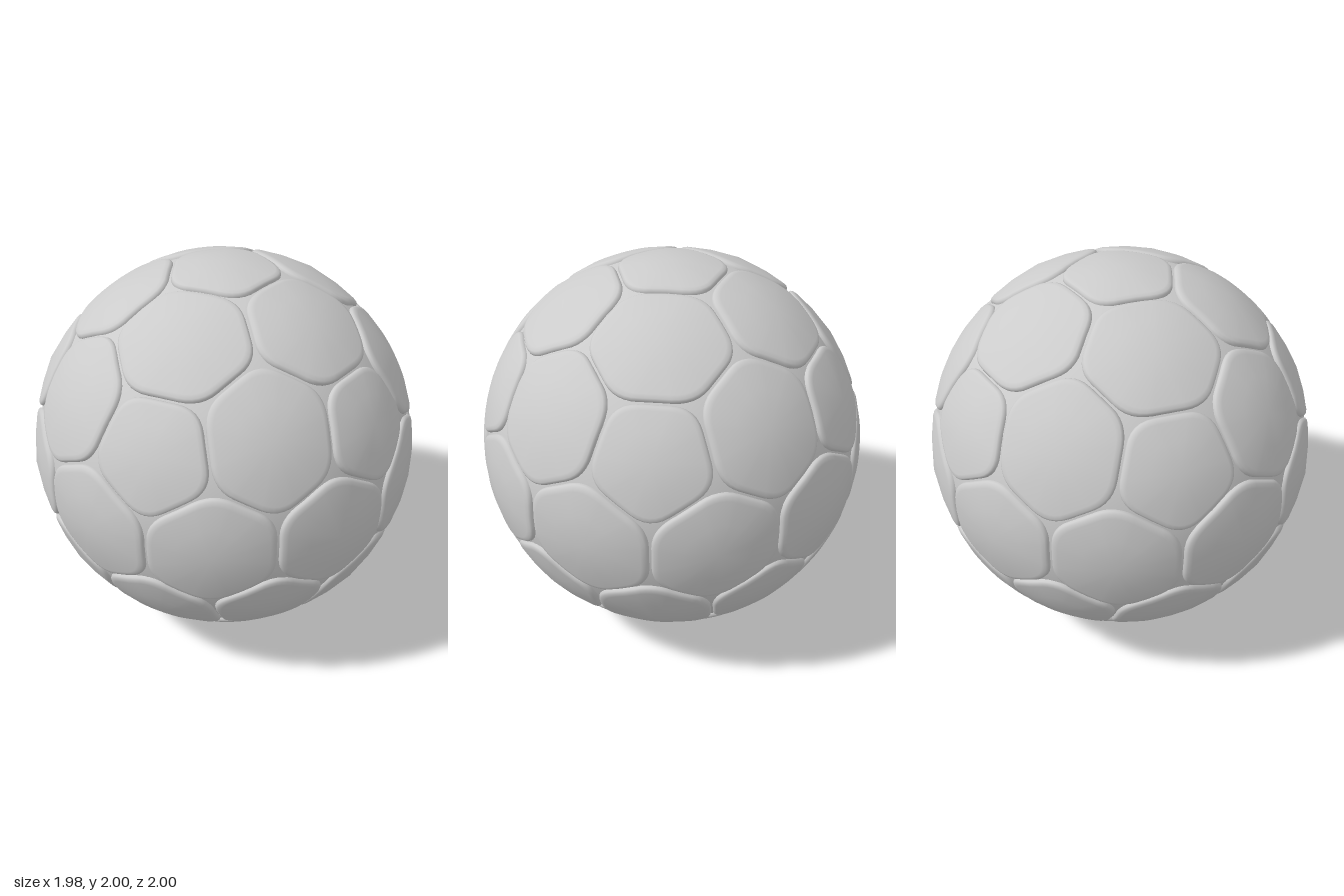
import * as THREE from 'three';

const material = new THREE.MeshStandardMaterial({ color: 0xcccccc });

// Twelve pentagon centres: two poles and two staggered rings
function pentagonCentres() {
  const list = [new THREE.Vector3(0, 1, 0), new THREE.Vector3(0, -1, 0)];
  const lat = Math.atan(0.5);
  for (const side of [1, -1]) {
    for (let k = 0; k < 5; k++) {
      const a = THREE.MathUtils.degToRad(side * 18 + 72 * k);
      list.push(new THREE.Vector3(
        Math.cos(lat) * Math.sin(a), side * Math.sin(lat), Math.cos(lat) * Math.cos(a)));
    }
  }
  return list;
}

// Pillow panel profile from the middle to the sunken rim: [scale, radius]
const profile = [[0.5, 0.994], [0.86, 0.992], [0.93, 0.989], [0.965, 0.982], [0.982, 0.97], [0.985, 0.95]];

function panelGeometry(centre, corners) {
  // Flatten the corners onto the tangent plane, counter-clockwise from outside
  const up = Math.abs(centre.y) > 0.9 ? new THREE.Vector3(1, 0, 0) : new THREE.Vector3(0, 1, 0);
  const u = new THREE.Vector3().crossVectors(up, centre).normalize();
  const v = new THREE.Vector3().crossVectors(centre, u);
  const flat = corners
    .map(c => new THREE.Vector2(c.dot(u), c.dot(v)).divideScalar(c.dot(centre)))
    .sort((a, b) => a.angle() - b.angle());

  // Outline with rounded corners
  const outline = [];
  const n = flat.length;
  flat.forEach((p, i) => {
    const start = p.clone().lerp(flat[(i + n - 1) % n], 0.3);
    const end = p.clone().lerp(flat[(i + 1) % n], 0.3);
    outline.push(...new THREE.QuadraticBezierCurve(start, p, end).getPoints(6));
    outline.push(end.clone().lerp(p.clone().lerp(flat[(i + 1) % n], 0.7), 0.5));
  });

  // Rings around a centre point
  const positions = [...centre.toArray()];
  const index = [];
  const m = outline.length;
  profile.forEach(([scale, radius], r) => {
    outline.forEach((p, i) => {
      const q = centre.clone().addScaledVector(u, p.x * scale).addScaledVector(v, p.y * scale);
      positions.push(...q.setLength(radius).toArray());
      const a = 1 + r * m + i, b = 1 + r * m + (i + 1) % m;
      if (r === 0) index.push(0, a, b);
      else index.push(a - m, a, b, a - m, b, b - m);
    });
  });
  const geometry = new THREE.BufferGeometry();
  geometry.setAttribute('position', new THREE.Float32BufferAttribute(positions, 3));
  geometry.setIndex(index);
  geometry.computeVertexNormals();
  return geometry;
}

export function createModel() {
  const ball = new THREE.Group();
  ball.name = 'ball';
  const add = (name, geometry) => {
    const mesh = new THREE.Mesh(geometry, material);
    mesh.name = name;
    mesh.position.y = 1;
    ball.add(mesh);
  };

  // Inner sphere seen in the seams
  add('core', new THREE.SphereGeometry(0.971, 64, 40));

  const pents = pentagonCentres();
  const near = (a, b) => a !== b && a.dot(b) > 0.4;

  // Points where three hexagons meet
  const joints = [];
  pents.forEach((a, i) => pents.forEach((b, j) => pents.forEach((c, k) => {
    if (i < j && j < k && near(a, b) && near(b, c) && near(a, c)) {
      joints.push({ point: a.clone().add(b).add(c).normalize(), owners: [a, b, c] });
    }
  })));

  // Pentagon corner lying on the arc from a pentagon centre to a joint
  const cornerAngle = Math.asin(0.315);
  const corner = (p, joint) => {
    const side = joint.point.clone().addScaledVector(p, -joint.point.dot(p)).normalize();
    return p.clone().multiplyScalar(Math.cos(cornerAngle)).addScaledVector(side, Math.sin(cornerAngle));
  };

  // Twelve pentagon panels
  pents.forEach(p => {
    const own = joints.filter(j => j.owners.includes(p));
    add('pentagonPanel', panelGeometry(p, own.map(j => corner(p, j))));
  });

  // Thirty hexagon panels, one between each pair of neighbouring pentagons
  pents.forEach((p, i) => pents.slice(i + 1).filter(q => near(p, q)).forEach(q => {
    const shared = joints.filter(j => j.owners.includes(p) && j.owners.includes(q));
    const corners = shared.flatMap(j => [j.point, corner(p, j), corner(q, j)]);
    add('hexagonPanel', panelGeometry(p.clone().add(q).normalize(), corners));
  }));

  return ball;
}
